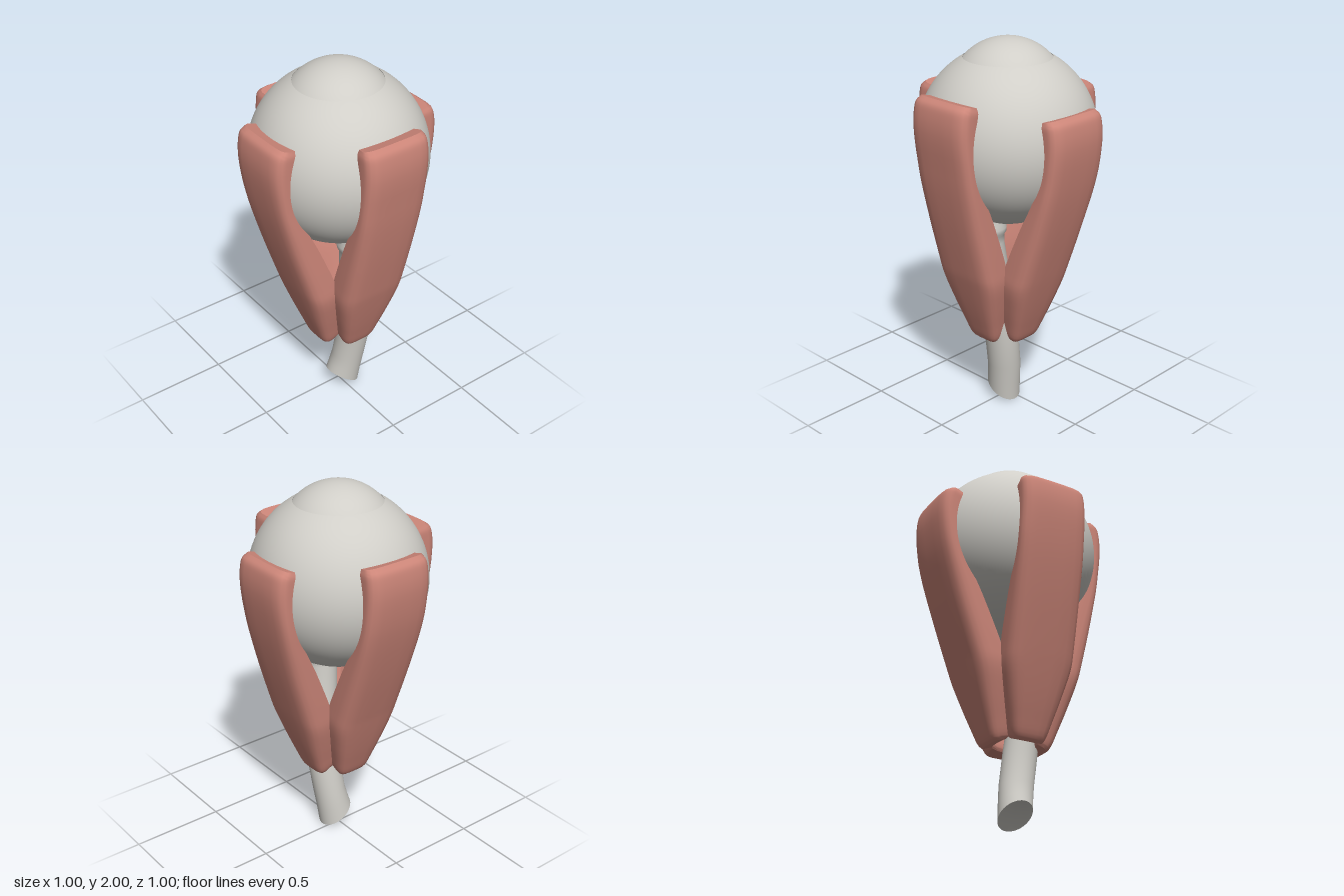
import * as THREE from 'three';
import { toCreasedNormals } from 'three/addons/utils/BufferGeometryUtils.js';

// Skin a list of closed rings (arrays of Vector3), optionally closing the ends
function loft(rings, crease, capStart = true, capEnd = true) {
  const n = rings[0].length, pos = [], idx = [];
  rings.forEach(r => r.forEach(p => pos.push(p.x, p.y, p.z)));
  for (let j = 0; j < rings.length - 1; j++)
    for (let i = 0; i < n; i++) {
      const a = j * n + i, b = j * n + (i + 1) % n;
      idx.push(a, b, a + n, b, b + n, a + n);
    }
  const cap = (j, flip) => {
    const c = new THREE.Vector3();
    rings[j].forEach(p => c.addScaledVector(p, 1 / n));
    const k = pos.length / 3;
    pos.push(c.x, c.y, c.z);
    for (let i = 0; i < n; i++) {
      const a = j * n + i, b = j * n + (i + 1) % n;
      if (flip) idx.push(b, a, k); else idx.push(a, b, k);
    }
  };
  if (capStart) cap(0, true);
  if (capEnd) cap(rings.length - 1, false);
  const g = new THREE.BufferGeometry();
  g.setAttribute('position', new THREE.Float32BufferAttribute(pos, 3));
  g.setIndex(idx);
  return toCreasedNormals(g, crease);
}

// Muscle side profile: outer radius, outer y, inner radius, inner y, half width
const PROFILE = [
  [0.155, 0.395, 0.100, 0.415, 0.080],
  [0.172, 0.410, 0.092, 0.435, 0.092],
  [0.210, 0.500, 0.108, 0.520, 0.118],
  [0.255, 0.620, 0.135, 0.630, 0.150],
  [0.303, 0.760, 0.170, 0.770, 0.183],
  [0.335, 0.860, 0.200, 0.870, 0.187],
  [0.415, 1.130, 0.295, 1.120, 0.188],
  [0.470, 1.360, 0.375, 1.320, 0.188],
  [0.498, 1.560, 0.405, 1.530, 0.187],
  [0.493, 1.655, 0.403, 1.640, 0.186],
  [0.480, 1.698, 0.393, 1.680, 0.183],
  [0.450, 1.720, 0.388, 1.705, 0.172],
];
// Half of the cross-section: width fraction, depth fraction (0 inner, 1 outer)
const HALF = [[0.25, 1], [0.6, 0.98], [0.8, 0.92], [0.92, 0.8], [0.98, 0.62], [1, 0.4], [0.95, -0.2], [0.5, -0.02]];

function muscleGeometry(angle, lift) {
  const outer = new THREE.CatmullRomCurve3(PROFILE.map(p => new THREE.Vector3(p[0], p[1], p[4])));
  const inner = new THREE.CatmullRomCurve3(PROFILE.map(p => new THREE.Vector3(p[2], p[3], 0)));
  const section = [
    ...HALF.map(([u, v]) => [-u, v]).reverse(),
    ...HALF,
    [0, 0.06],
  ];
  const rings = [], steps = 44;
  const up = new THREE.Vector3(0, 1, 0);
  for (let j = 0; j <= steps; j++) {
    const o = outer.getPoint(j / steps), q = inner.getPoint(j / steps);
    rings.push(section.map(([u, v]) => {
      const p = new THREE.Vector3(u * o.z, q.y + (o.y - q.y) * v, q.x + (o.x - q.x) * v);
      p.applyAxisAngle(up, angle);
      // the lower ends drift towards the off-centre nerve
      p.x += 0.028 * THREE.MathUtils.clamp((1.4 - p.y) / 0.6, 0, 1);
      p.y += lift * (p.y - 0.4) / 1.3;
      return p;
    }));
  }
  return loft(rings, 0.7);
}

// Nerve centre line: x, y, z, radius
const NERVE = [
  [0.033, 0.056, 0.000, 0.088], [0.042, 0.130, -0.012, 0.088], [0.055, 0.220, -0.026, 0.089],
  [0.085, 0.400, -0.038, 0.090], [0.125, 0.700, -0.025, 0.090], [0.155, 0.960, 0.000, 0.090],
  [0.160, 1.000, 0.000, 0.094], [0.163, 1.020, 0.000, 0.107], [0.165, 1.045, 0.000, 0.110],
  [0.168, 1.065, 0.000, 0.104], [0.170, 1.200, 0.000, 0.100],
];
function nerveRing([x, y, z, r], slant, scale = 1) {
  return Array.from({ length: 40 }, (_, i) => {
    const a = i / 40 * Math.PI * 2, dz = Math.cos(a) * r * scale;
    return new THREE.Vector3(x + Math.sin(a) * r * scale, y + dz * slant, z + dz);
  });
}

export function createModel() {
  const white = new THREE.MeshStandardMaterial({ color: 0xd0cec8 });
  white.name = 'eyeWhite';
  const red = new THREE.MeshStandardMaterial({ color: 0xcb8578 });
  red.name = 'muscleRed';
  const model = new THREE.Group();
  const add = (name, geometry, material, y = 0) => {
    const m = new THREE.Mesh(geometry, material);
    m.name = name;
    m.position.y = y;
    model.add(m);
    return m;
  };

  // Eyeball, cut open where the cornea sits
  const cut = Math.asin(0.226 / 0.46);
  add('eyeball', new THREE.SphereGeometry(0.46, 72, 48, 0, Math.PI * 2, cut, Math.PI - cut), white, 1.5);
  // Cornea: a tighter dome meeting the eyeball at its rim
  add('cornea', new THREE.SphereGeometry(0.303, 72, 16, 0, Math.PI * 2, 0, Math.asin(0.226 / 0.303)), white, 1.697);

  // Four straight muscles around the eye
  [['frontMuscle', 0, 0.01], ['leftMuscle', Math.PI / 2, 0.042],
    ['backMuscle', Math.PI, -0.03], ['rightMuscle', -Math.PI / 2, 0]]
    .forEach(([name, angle, lift]) => add(name, muscleGeometry(angle, lift), red));

  // Optic nerve with an obliquely cut lower end
  const rings = NERVE.map((p, i) => nerveRing(p, i === 0 ? 0.64 : i === 1 ? 0.3 : 0));
  add('opticNerve', loft(rings, 0.9, false, false), white);
  // Hollowed cut face
  const [x, y, z, r] = NERVE[0];
  const dish = [0.05, 0.4, 0.7, 0.9, 1].map(s => nerveRing([x, y + 0.03 * (1 - s * s), z, r], 0.64, s));
  add('nerveCut', loft(dish.reverse().map(ring => ring.reverse()).reverse().map(ring => ring.reverse()).reverse()
    .map(ring => ring.slice().reverse()), 0.9, false, true), white).material.side = THREE.DoubleSide;
  return model;
}
